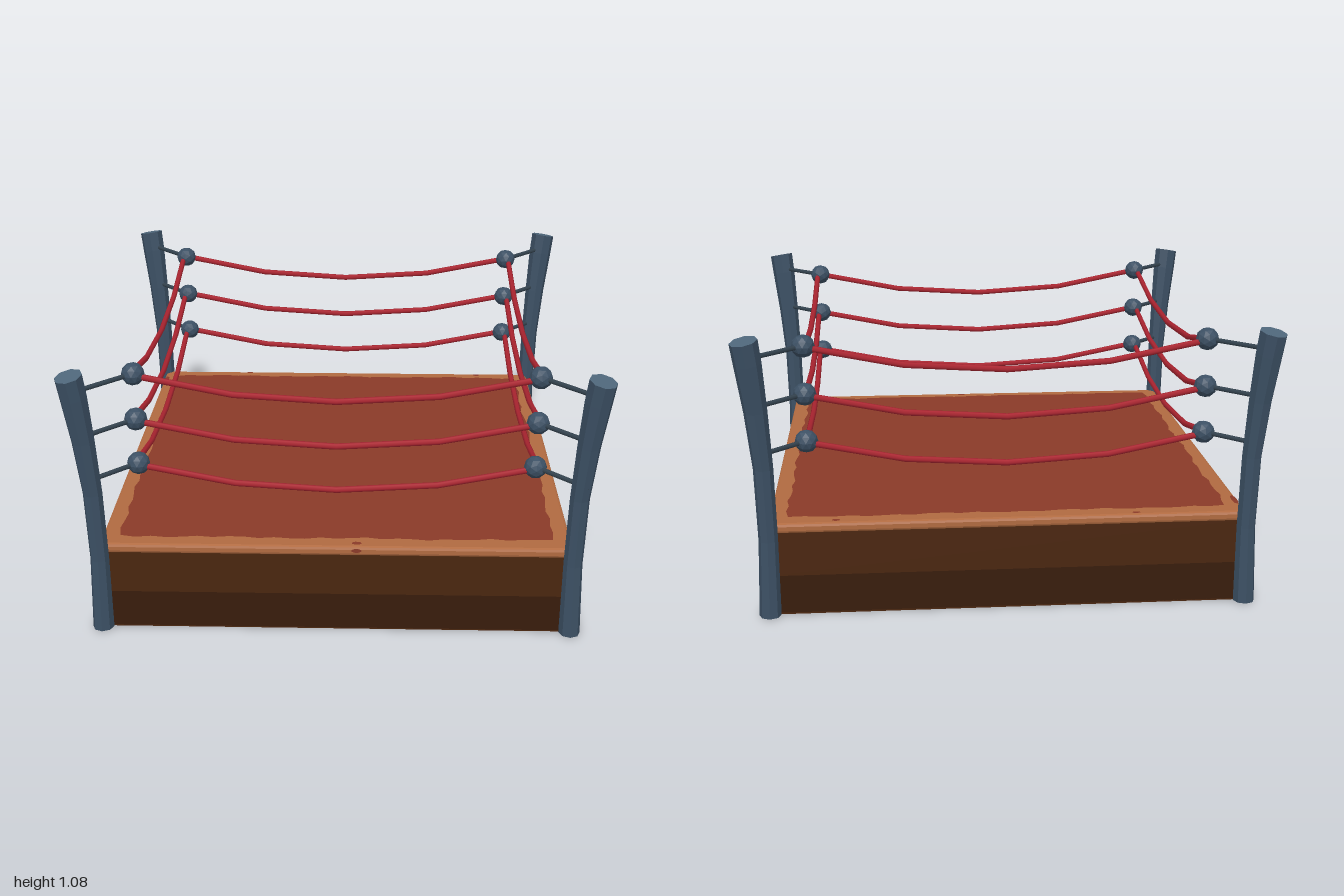
import * as THREE from 'three';

const mat = (name, color) => {
  const m = new THREE.MeshStandardMaterial({ color });
  m.name = name;
  return m;
};

export function createModel() {
  const root = new THREE.Group();
  root.name = 'ring';

  const skirtUpper = mat('skirt brown', 0x4a260f);
  const skirtLower = mat('dark skirt brown', 0x381c0b);
  const rimTan = mat('rim tan', 0xb06a40);
  const canvasRed = mat('canvas red', 0x8a3a28);
  const ropeRed = mat('rope red', 0xab2430);
  const steel = mat('blue steel', 0x3c5064);
  const steelLight = mat('light blue steel', 0x4e667a);
  const ironDark = mat('dark iron', 0x34434f);
  steel.flatShading = steelLight.flatShading = true;

  const add = (parent, name, geometry, material, x = 0, y = 0, z = 0) => {
    const mesh = new THREE.Mesh(geometry, material);
    mesh.name = name;
    mesh.position.set(x, y, z);
    parent.add(mesh);
    return mesh;
  };

  // Platform skirt, darker toward the floor
  add(root, 'lowerSkirt', new THREE.BoxGeometry(1.8, 0.15, 1.8), skirtLower, 0, 0.08, 0);
  add(root, 'upperSkirt', new THREE.BoxGeometry(1.8, 0.17, 1.8), skirtUpper, 0, 0.24, 0);

  // Padded rim with a softened upper edge
  const square = new THREE.Shape();
  const h = 0.888;
  square.moveTo(-h, -h).lineTo(h, -h).lineTo(h, h).lineTo(-h, h).closePath();
  const rim = new THREE.ExtrudeGeometry(square, {
    depth: 0.016, bevelEnabled: true, bevelSize: 0.012, bevelThickness: 0.012, bevelSegments: 2,
  });
  rim.rotateX(-Math.PI / 2);
  add(root, 'rim', rim, rimTan, 0, 0.332, 0);

  // Canvas with a worn, wavering edge
  const edge = [];
  const n = 28;
  for (let side = 0; side < 4; side++) {
    const a = side * Math.PI / 2;
    for (let i = 0; i < n; i++) {
      const t = -0.83 + 1.66 * i / n;
      const r = 0.836 + (i ? 0.006 * Math.sin(i * 2.3 + side) + 0.004 * Math.sin(i * 0.7 + side * 2) : -0.006);
      edge.push(new THREE.Vector2(t * Math.cos(a) + r * Math.sin(a), t * Math.sin(a) - r * Math.cos(a)));
    }
  }
  const canvas = new THREE.ShapeGeometry(new THREE.Shape(edge));
  canvas.rotateX(-Math.PI / 2);
  add(root, 'canvas', canvas, canvasRed, 0, 0.3625, 0);

  // Worn spots on the rim
  for (const [x, z, w, d] of [[-0.48, -0.882, 0.016, 0.009], [0.65, -0.874, 0.016, 0.011],
    [0.08, 0.872, 0.02, 0.012], [-0.885, -0.77, 0.012, 0.05]]) {
    const spot = new THREE.CircleGeometry(1, 7);
    spot.rotateX(-Math.PI / 2);
    add(root, 'rimSpot', spot, canvasRed, x, 0.362, z).scale.set(w, 1, d);
  }
  add(root, 'frontRimSpot', new THREE.CircleGeometry(1, 7), canvasRed, 0.08, 0.345, 0.902).scale.set(0.02, 0.009, 1);

  // Post profile: height, distance along x and z, radius
  const profile = [[0, 0.904, 0.041], [0.3, 0.9, 0.036], [0.58, 0.906, 0.037],
    [0.8, 0.922, 0.043], [0.98, 0.94, 0.05], [1.065, 0.95, 0.051]];
  const makePost = () => {
    const g = new THREE.CylinderGeometry(1, 1, 1, 8, profile.length - 1);
    const p = g.attributes.position;
    for (let i = 0; i < p.count; i++) {
      const row = Math.round((p.getY(i) + 0.5) * (profile.length - 1));
      const [y, c, r] = profile[row];
      const x = p.getX(i) * r, z = p.getZ(i) * r;
      const tilt = 0.16 * (y / 1.065) ** 3;
      p.setXYZ(i, c + x, y - tilt * (x + z), c + z);
    }
    g.computeVertexNormals();
    return g;
  };
  const postGeo = makePost();
  const ballGeo = new THREE.IcosahedronGeometry(0.044, 1);
  const rodLength = 0.255;
  const rodGeo = new THREE.CylinderGeometry(0.009, 0.009, rodLength, 6);
  rodGeo.rotateZ(Math.PI / 2);
  rodGeo.rotateY(-Math.PI / 4);
  const levels = [0.635, 0.817, 1.0];

  // Four corners: leaning post, with a rod and ball for each rope level
  for (let k = 0; k < 4; k++) {
    const corner = new THREE.Group();
    corner.name = 'corner';
    corner.rotation.y = k * Math.PI / 2;
    root.add(corner);
    add(corner, 'post', postGeo, [steel, steelLight, steel]);
    for (const y of levels) {
      add(corner, 'ropeRod', rodGeo, ironDark, 0.845, y, 0.845);
      add(corner, 'ropeBall', ballGeo, steel, 0.755, y, 0.755);
    }
  }

  // Sagging ropes on all four sides
  const sag = new THREE.CatmullRomCurve3([[-0.765, 0], [-0.39, -0.075], [0, -0.1], [0.39, -0.075], [0.765, 0]]
    .map(([x, y]) => new THREE.Vector3(x, y, 0)));
  const ropeGeo = new THREE.TubeGeometry(sag, 4, 0.012, 6, false);
  for (let k = 0; k < 4; k++) {
    const side = new THREE.Group();
    side.name = 'ropeSide';
    side.rotation.y = k * Math.PI / 2;
    root.add(side);
    for (const y of levels) add(side, 'rope', ropeGeo, ropeRed, 0, y, 0.767);
  }

  // Underside panel, reaching the floor
  add(root, 'underside', new THREE.BoxGeometry(1.8, 0.006, 1.8), skirtUpper, 0, 0.003, 0);
  return root;
}
